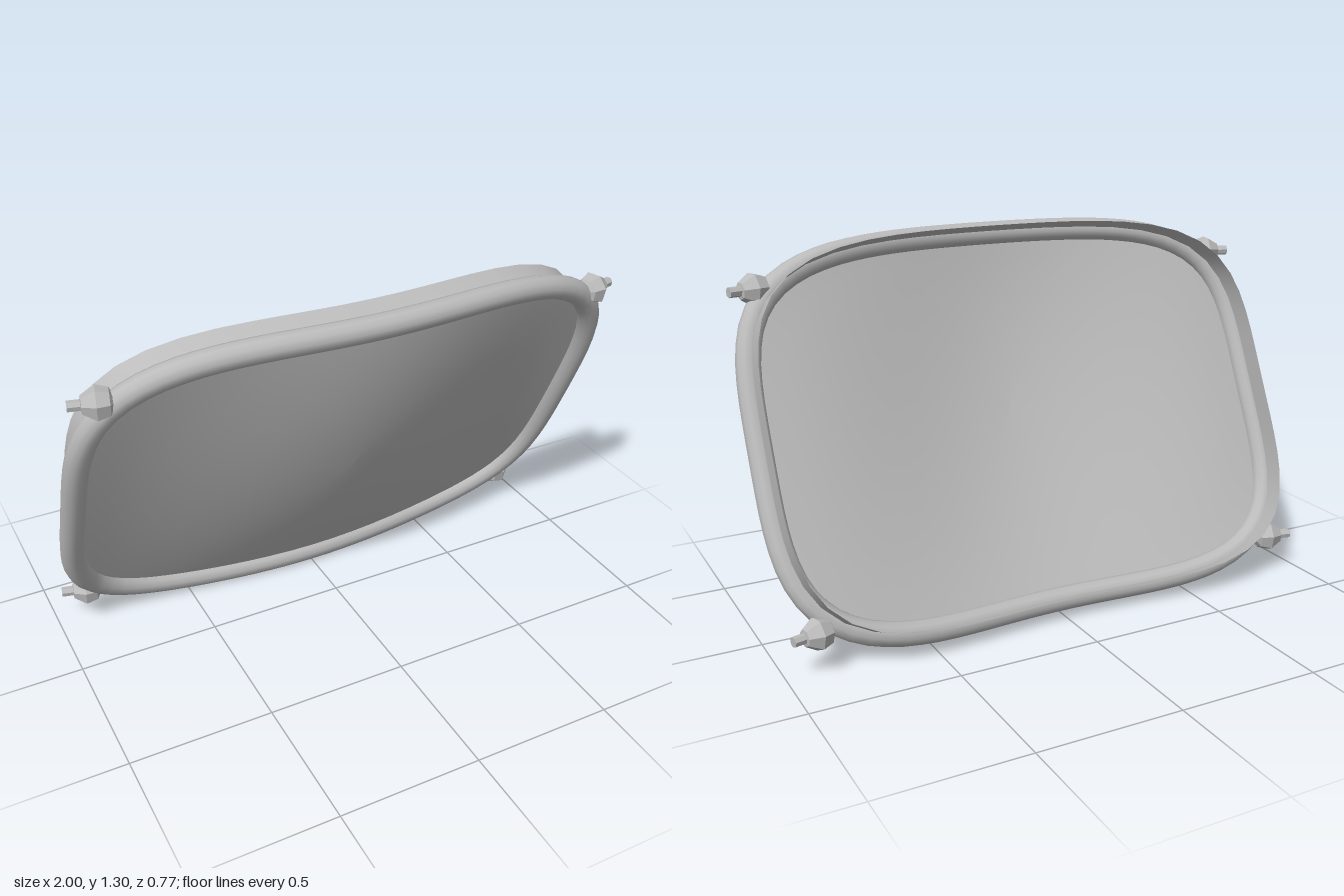
import * as THREE from 'three';

const HALF_W = 0.96, HALF_H = 0.61, MID_Y = 0.655, SEGMENTS = 64;

// Forward-leaning surface, bowed towards the front at its middle
function surfaceZ(x, y) {
  const v = (y - MID_Y) / HALF_H;
  const bulge = Math.max(0, 1 - v * v);
  const bow = 0.5 + 0.5 * Math.cos(Math.PI * Math.min(1, Math.abs(x) / 0.9));
  return 0.47 * (y - MID_Y) - 0.015 + 0.02 * bulge + (0.075 + 0.065 * bulge) * bow;
}

// Point on the rounded rectangle outline; s scales it towards the centre
function outline(angle, s = 1) {
  const c = Math.cos(angle), n = Math.sin(angle);
  const r = s * Math.pow(c ** 4 + n ** 4, -0.25);
  const x = HALF_W * r * c, y = MID_Y + HALF_H * r * n;
  return new THREE.Vector3(x, y, surfaceZ(x, y));
}

// Surface from closed loops of points: pointAt(row, angle)
function loops(rows, pointAt) {
  const positions = [], index = [];
  for (let i = 0; i <= rows; i++) {
    for (let j = 0; j < SEGMENTS; j++) {
      positions.push(...pointAt(i, (j / SEGMENTS) * Math.PI * 2).toArray());
    }
  }
  for (let i = 0; i < rows; i++) {
    for (let j = 0; j < SEGMENTS; j++) {
      const k = (j + 1) % SEGMENTS;
      const a = i * SEGMENTS + j, b = i * SEGMENTS + k;
      const c = a + SEGMENTS, d = b + SEGMENTS;
      index.push(a, c, b, b, c, d);
    }
  }
  const geometry = new THREE.BufferGeometry();
  geometry.setAttribute('position', new THREE.Float32BufferAttribute(positions, 3));
  geometry.setIndex(index);
  geometry.computeVertexNormals();
  return geometry;
}

export function createModel() {
  const group = new THREE.Group();
  const grey = new THREE.MeshStandardMaterial({ color: 0xbbbbbb, side: THREE.DoubleSide });
  grey.name = 'plain grey';

  const add = (name, geometry) => {
    const mesh = new THREE.Mesh(geometry, grey);
    mesh.name = name;
    group.add(mesh);
    return mesh;
  };

  // Round tube frame
  const points = [];
  for (let j = 0; j < SEGMENTS; j++) points.push(outline((j / SEGMENTS) * Math.PI * 2));
  const path = new THREE.CatmullRomCurve3(points, true);
  add('tubeFrame', new THREE.TubeGeometry(path, 96, 0.042, 12, true));

  // Curved panel filling the frame
  const rings = 10;
  add('panel', loops(rings, (i, angle) => outline(angle, 0.001 + 0.969 * (i / rings))));

  // Thin rim running back from the frame
  const back = new THREE.Vector3(0, 0.045, -0.11);
  add('rearRim', loops(1, (i, angle) => outline(angle, 0.995).addScaledVector(back, 1 - i)));

  // Faceted corner knobs with a short outer pin
  const profile = [[0, -0.085], [0.012, -0.085], [0.016, -0.05], [0.045, -0.035], [0.057, 0.005],
    [0.03, 0.048], [0.018, 0.05], [0.018, 0.09], [0, 0.09]]
    .map(([r, t]) => new THREE.Vector2(r, t));
  const knobGeometry = new THREE.LatheGeometry(profile, 7).toNonIndexed();
  knobGeometry.computeVertexNormals();
  const up = new THREE.Vector3(0, 1, 0);
  for (const [level, x, y, z] of [['upper', 0.893, 1.155, 0.22], ['lower', 0.887, 0.135, -0.265]]) {
    for (const side of [1, -1]) {
      const knob = add(level + (side > 0 ? 'LeftKnob' : 'RightKnob'), knobGeometry);
      knob.position.set(side * x, y, z);
      knob.quaternion.setFromUnitVectors(up, new THREE.Vector3(side, 0, -0.25).normalize());
    }
  }

  return group;
}
